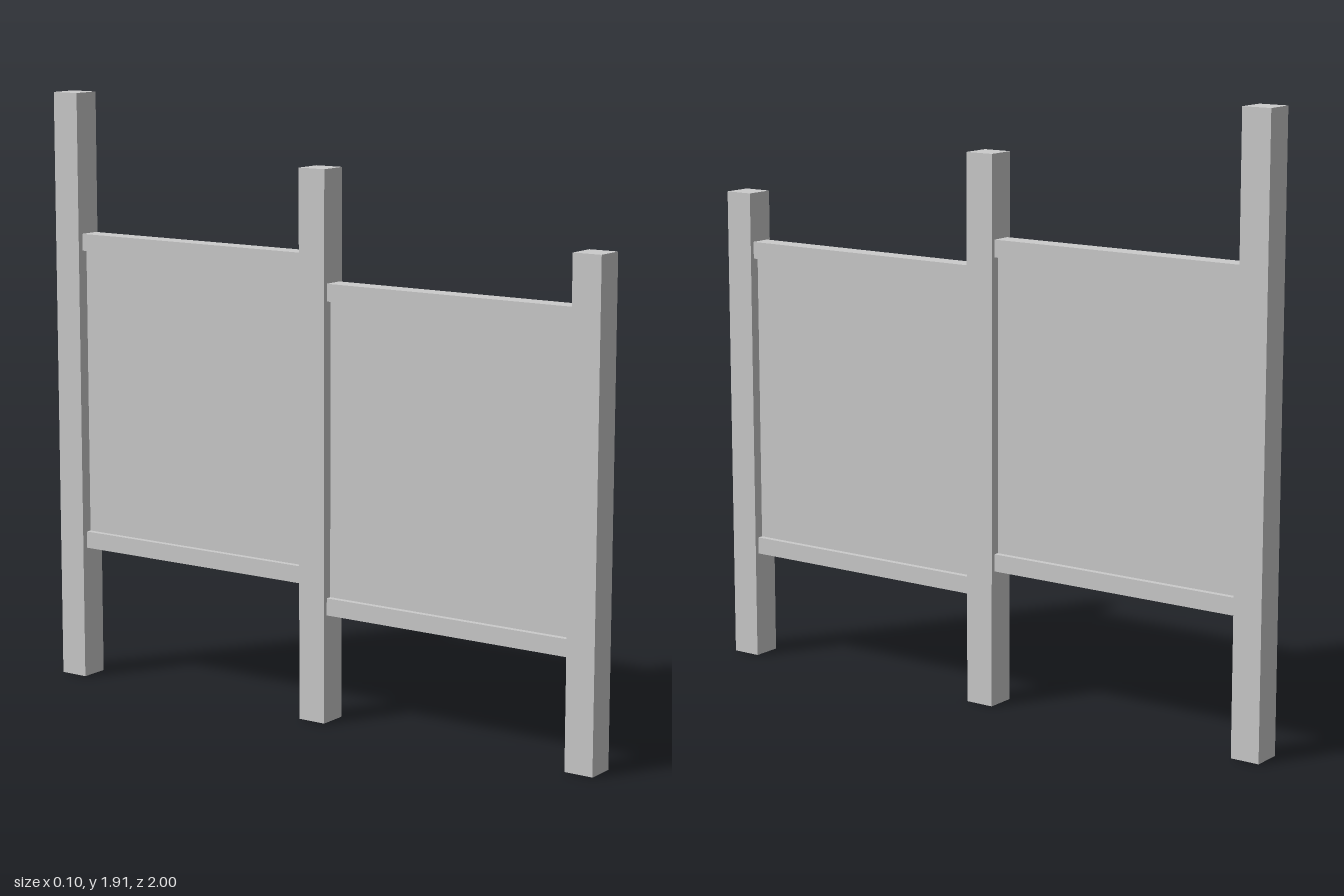
import * as THREE from 'three';

export function createModel() {
  const model = new THREE.Group();
  model.name = 'steppedFence';
  const material = new THREE.MeshStandardMaterial({ color: 0xcccccc, flatShading: true });

  // Box given by its width, bottom and top heights, and z range
  function addBox(parent, name, width, y0, y1, z0, z1, x = 0) {
    const mesh = new THREE.Mesh(new THREE.BoxGeometry(width, y1 - y0, z1 - z0), material);
    mesh.position.set(x, (y0 + y1) / 2, (z0 + z1) / 2);
    mesh.name = name;
    parent.add(mesh);
  }

  // Three square posts, rising toward the back
  const postWidth = 0.094;
  const posts = [
    { name: 'frontPost', z: 0.953, height: 1.527 },
    { name: 'middlePost', z: 0.001, height: 1.716 },
    { name: 'backPost', z: -0.953, height: 1.906, x: -0.005 },
  ];
  for (const p of posts) {
    addBox(model, p.name, postWidth, 0, p.height, p.z - postWidth / 2, p.z + postWidth / 2, p.x);
  }

  // Two bays, each with a bottom rail, a top rail and a recessed panel
  const bays = [
    { name: 'frontBay', z0: 0.048, z1: 0.906, bottom: 0.342, top: 1.37 },
    { name: 'backBay', z0: -0.906, z1: -0.046, bottom: 0.429, top: 1.457 },
  ];
  const railHeight = 0.054, railWidth = 0.066, panelWidth = 0.029;
  for (const b of bays) {
    const bay = new THREE.Group();
    bay.name = b.name;
    addBox(bay, 'bottomRail', railWidth, b.bottom, b.bottom + railHeight, b.z0, b.z1);
    addBox(bay, 'topRail', railWidth, b.top - railHeight, b.top, b.z0, b.z1);
    addBox(bay, 'panel', panelWidth, b.bottom + railHeight, b.top - railHeight, b.z0, b.z1);
    model.add(bay);
  }
  return model;
}
